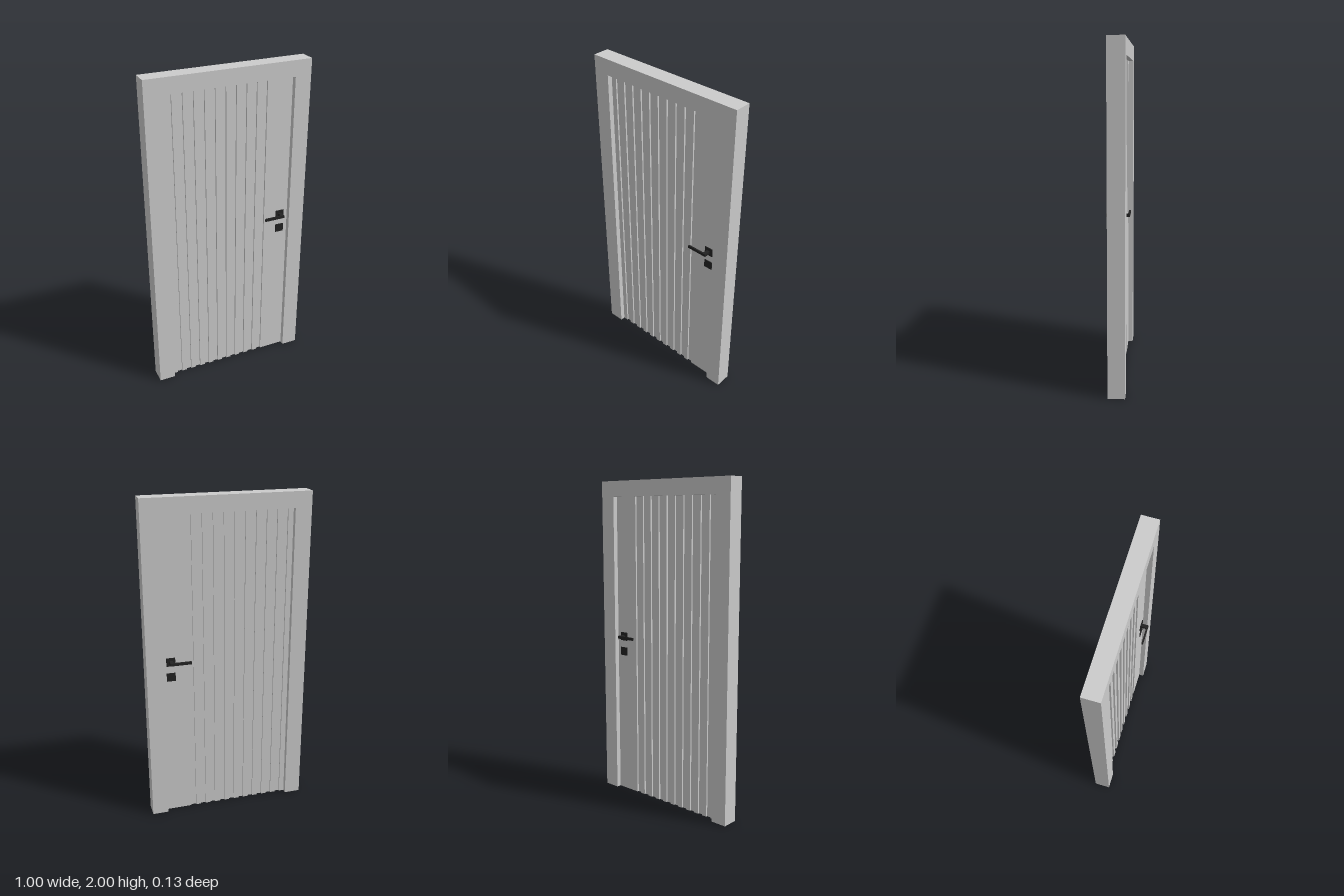
import * as THREE from 'three';

const grey = new THREE.MeshStandardMaterial({ color: 0xcccccc });
const black = new THREE.MeshStandardMaterial({ color: 0x222222 });

const shapeOf = (pts) => new THREE.Shape(pts.map(([x, y]) => new THREE.Vector2(x, y)));
const extrude = (pts, depth) => new THREE.ExtrudeGeometry(shapeOf(pts), { depth, bevelEnabled: false });

// Extrudes an (x, z) floor plan upward from y0 to y1
function extrudeUp(plan, y0, y1) {
  return extrude(plan, y1 - y0).rotateX(Math.PI / 2).translate(0, y1, 0);
}

function add(parent, name, geometry, material) {
  const mesh = new THREE.Mesh(geometry, material);
  mesh.name = name;
  parent.add(mesh);
}

// Door leaf: flat lock side, ten upright grooves cut into both faces
function doorPlan() {
  const face = 0.02, groove = 0.01, w = 0.032;
  const edge = [[-0.4, face]];
  for (let i = 0; i < 10; i++) {
    const a = -0.4 + (2 * i + 1) * w, b = a + w;
    edge.push([a, face], [a, groove], [b, groove], [b, face]);
  }
  edge.push([0.4, face]);
  return [...edge, ...edge.map(([x, z]) => [x, -z]).reverse()];
}

// Lever handle, its plate and the lock plate; side is +1 front, -1 back
function handleSet(side) {
  const set = new THREE.Group();
  set.name = side > 0 ? 'frontHandle' : 'backHandle';
  const plate = (y) => new THREE.BoxGeometry(0.054, 0.052, 0.006).translate(0.348, y, side * 0.022);
  add(set, 'handlePlate', plate(1.029), black);
  add(set, 'lockPlate', plate(0.932), black);
  // Stem turning into the lever through a chamfered inner corner
  const plan = [[0.337, 0.02], [0.358, 0.02], [0.358, 0.067], [0.23, 0.067],
    [0.23, 0.057], [0.33, 0.057], [0.337, 0.05]].map(([x, z]) => [x, z * side]);
  add(set, 'lever', extrudeUp(plan, 1.02, 1.037), black);
  return set;
}

export function createModel() {
  const model = new THREE.Group();
  model.name = 'door';

  // Frame: two jambs and a header, open at the floor
  const frame = [[-0.5, 0], [-0.4, 0], [-0.4, 1.905], [0.4, 1.905], [0.4, 0], [0.5, 0], [0.5, 2], [-0.5, 2]];
  add(model, 'frame', extrude(frame, 0.1).translate(0, 0, -0.05), grey);

  add(model, 'doorLeaf', extrudeUp(doorPlan(), 0, 1.905), grey);

  for (const side of [1, -1]) model.add(handleSet(side));
  return model;
}
